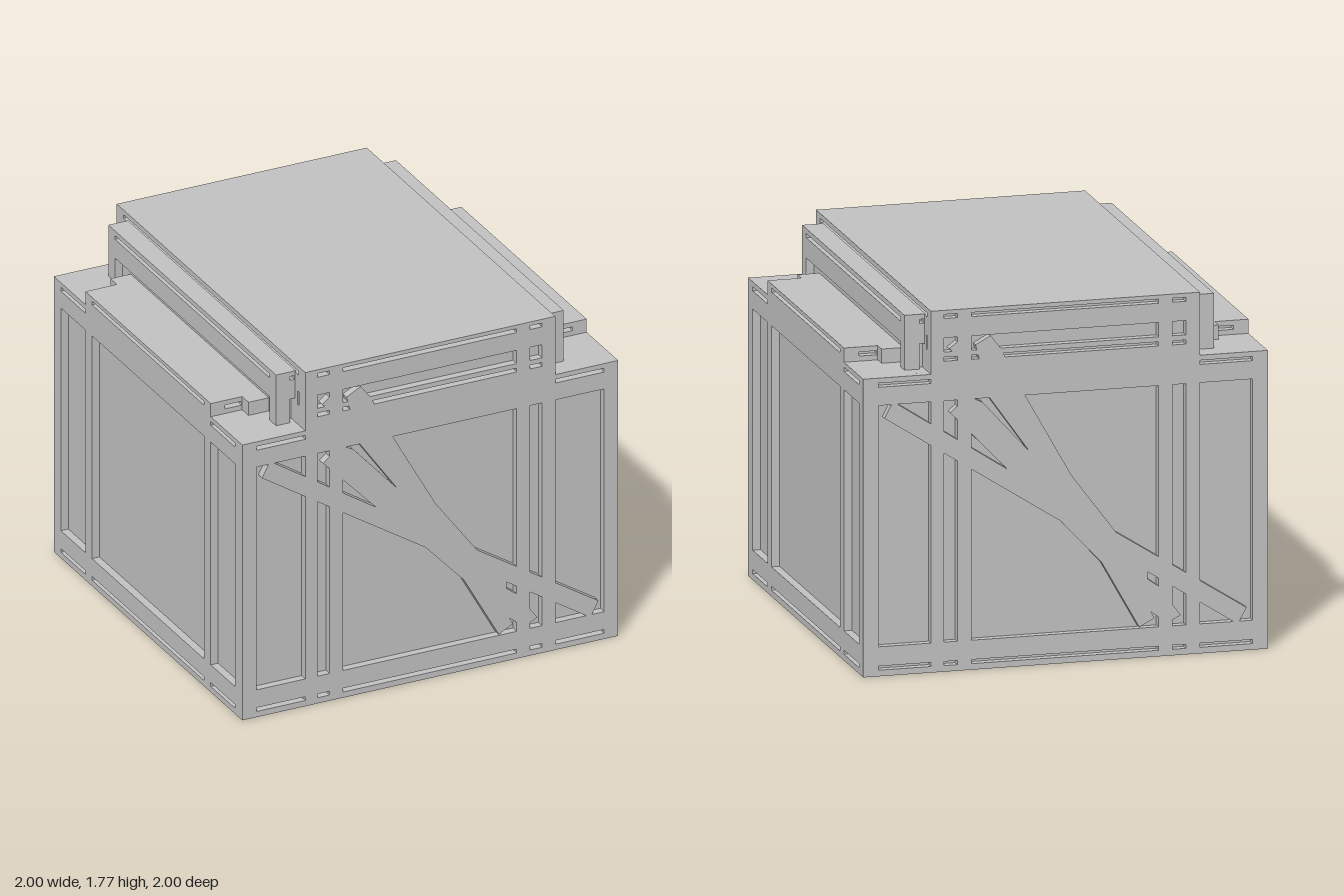
import * as THREE from 'three';

const D = 0.04; // depth of every recess
const TOP = 1.775, SHOULDER = 1.465, SILL = 0.145, HEAD = 1.33;

const rect = (x0, x1, y0, y1) => [[x0, y0], [x1, y0], [x1, y1], [x0, y1]];
const slot = (x0, x1, y) => rect(x0, x1, y - 0.01, y + 0.01);
const mirror = (pts) => pts.map(([x, y]) => [-x, y]);
const toVecs = (pts) => pts.map(([x, y]) => new THREE.Vector2(x, y));

export function createModel() {
  const gray = new THREE.MeshStandardMaterial({ color: 0xc0c0c0 });
  gray.name = 'light gray';
  const model = new THREE.Group();
  model.name = 'crate';

  const box = (parent, name, x0, x1, y0, y1, z0, z1) => {
    const m = new THREE.Mesh(new THREE.BoxGeometry(x1 - x0, y1 - y0, z1 - z0), gray);
    m.position.set((x0 + x1) / 2, (y0 + y1) / 2, (z0 + z1) / 2);
    m.name = name;
    parent.add(m);
  };

  // Plate of thickness D whose outer face lies at the given distance, pierced by holes
  const plate = (parent, name, outline, holes, outer, facesSide = false) => {
    const shape = new THREE.Shape(toVecs(outline));
    holes.forEach((h) => shape.holes.push(new THREE.Path(toVecs(h))));
    const geo = new THREE.ExtrudeGeometry(shape, { depth: D, bevelEnabled: false });
    geo.translate(0, 0, outer - D);
    if (facesSide) geo.rotateY(Math.PI / 2);
    const m = new THREE.Mesh(geo, gray);
    m.name = name;
    parent.add(m);
  };

  // Solid cores behind the plates
  box(model, 'bodyCore', -1 + D, 1 - D, 0, SHOULDER, -1 + D, 1 - D);
  box(model, 'lidCore', -0.665 + D, 0.665 - D, SHOULDER, TOP, -1 + D, 1 - D);

  // Front frame: outer columns stop at the shoulder, inner ones reach the lid
  const frontHoles = [];
  for (const [x0, x1] of [[-0.925, -0.665], [0.665, 0.925]]) {
    frontHoles.push(rect(x0, x1, SILL, HEAD), slot(x0, x1, 0.04), slot(x0, x1, 1.43));
  }
  for (const [x0, x1] of [[-0.6, -0.535], [-0.465, 0.46], [0.53, 0.595]]) {
    frontHoles.push(rect(x0, x1, SILL, HEAD), rect(x0, x1, 1.57, 1.64));
    for (const y of [0.04, 1.535, 1.745]) frontHoles.push(slot(x0, x1, y));
  }
  const frontOutline = [[-1, 0], [1, 0], [1, SHOULDER], [0.665, SHOULDER], [0.665, TOP],
    [-0.665, TOP], [-0.665, SHOULDER], [-1, SHOULDER]];

  // Diagonal brace with three prongs at each end
  const brace = [
    [-0.86, HEAD], [-0.895, 1.265], [-0.465, 0.985], [-0.025, 0.7], [0.18, 0.48],
    [0.365, 0.15], [0.44, 0.19], [0.42, 0.225], [0.5, 0.16], [0.57, 0.195], [0.46, 0.345],
    [0.405, 0.385], [0.405, 0.42], [0.83, SILL], [0.86, SILL], [0.895, 0.21],
    [0.25, 0.625], [0.03, 0.92], [-0.2, HEAD], [-0.32, 1.57], [-0.37, 1.635], [-0.445, 1.595],
    [-0.375, HEAD], [-0.18, 1.055], [-0.41, 1.31], [-0.48, 1.345], [-0.57, 1.27],
    [-0.29, 0.975], [-0.83, HEAD],
  ];
  const barb = [[-0.575, 1.585], [-0.545, 1.555], [-0.5, 1.555], [-0.5, 1.64], [-0.535, 1.615]];

  // Side face: three windows and a raised ledge in the middle
  const e = 1 - D;
  const sideHoles = [rect(-0.595, 0.595, SILL, HEAD), slot(-0.595, 0.595, 0.04), slot(-0.595, 0.595, 1.505)];
  for (const h of [rect(0.665, 0.925, SILL, HEAD), slot(0.665, 0.925, 0.04), slot(0.665, 0.925, 1.43)]) {
    sideHoles.push(h, mirror(h));
  }
  const sideOutline = [[-e, 0], [e, 0], [e, SHOULDER], [0.665, SHOULDER], [0.665, 1.535],
    [-0.665, 1.535], [-0.665, SHOULDER], [-e, SHOULDER]];

  // Side of the lid
  const lidSlit = rect(0.918, 0.932, 1.57, 1.64);
  const lidHoles = [slot(-0.93, 0.93, 1.74), lidSlit, mirror(lidSlit)];

  // Stepped rail beside the lid, open below between two legs
  const railOutline = [[-0.89, SHOULDER], [-0.82, SHOULDER], [-0.82, 1.59], [0.82, 1.59], [0.82, SHOULDER],
    [0.89, SHOULDER], [0.89, 1.735], [-0.89, 1.735]];
  const railEnd = [[0.69, SHOULDER], [0.765 - D, SHOULDER], [0.765 - D, 1.735], [0.66, 1.735], [0.66, 1.59], [0.69, 1.59]];

  // Each half holds one face and one side; the second is turned half round
  for (let i = 0; i < 2; i++) {
    const half = new THREE.Group();
    half.name = i ? 'backAndRightSide' : 'frontAndLeftSide';
    half.rotation.y = i * Math.PI;
    plate(half, 'endFrame', frontOutline, frontHoles, 1);
    plate(half, 'diagonalBrace', brace, [], 1);
    plate(half, 'braceBarb', barb, [], 1);
    plate(half, 'sidePanel', sideOutline, sideHoles, 1, true);
    plate(half, 'lidSide', rect(-e, e, SHOULDER, TOP), lidHoles, 0.665, true);

    plate(half, 'railFace', railOutline, [slot(-0.82, 0.82, 1.7)], 0.765, true);
    box(half, 'railCore', 0.66, 0.765 - D, SHOULDER, 1.735, -0.89 + D, 0.89 - D);
    box(half, 'innerLedge', 0.765 - D, 0.833, SHOULDER, 1.535, -0.733, 0.733);
    box(half, 'outerLedge', 0.833, 1 - D, SHOULDER, 1.535, -0.665 + D, 0.665 - D);
    for (const outer of [0.89, -0.89 + D]) {
      plate(half, 'railEnd', railEnd, [slot(0.668, 0.69, 1.7)], outer);
    }
    for (const outer of [0.665, -0.665 + D]) {
      plate(half, 'ledgeEnd', rect(0.833, 1 - D, SHOULDER, 1.535), [slot(0.836, 0.925, 1.5)], outer);
    }
    model.add(half);
  }
  return model;
}
